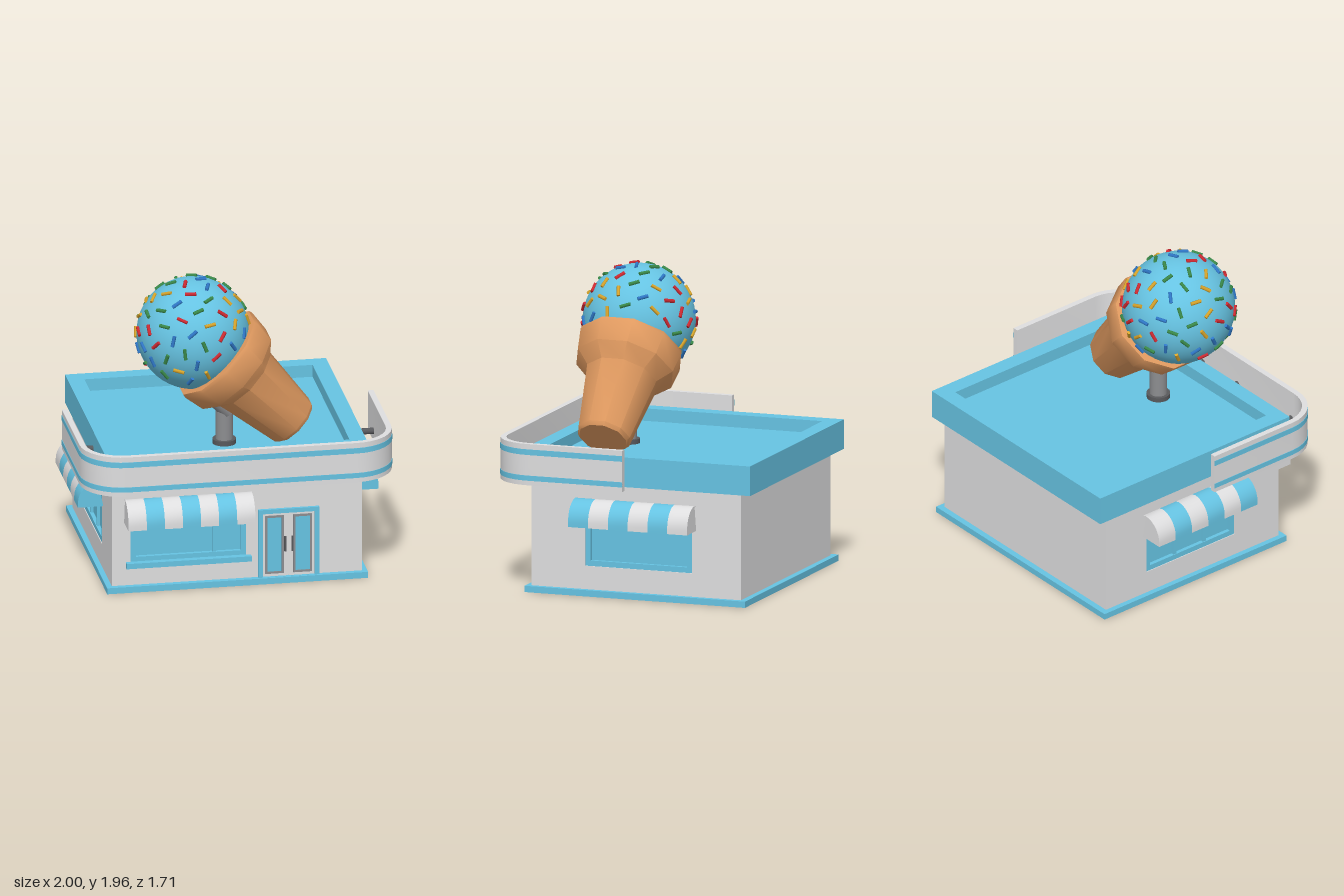
import * as THREE from 'three';
import { toCreasedNormals } from 'three/addons/utils/BufferGeometryUtils.js';

const paint = (name, color) => Object.assign(new THREE.MeshStandardMaterial({ color }), { name });

export function createModel() {
  const blue = paint('sky blue', 0x66c3e2), white = paint('off white', 0xdededf);
  const grey = paint('steel grey', 0x8c8d90), dark = paint('dark grey', 0x58595c);
  const waffle = paint('waffle', 0xe09a60);
  const candy = [paint('red', 0xd02a32), paint('yellow', 0xd9a52b), paint('green', 0x3a8a4a), paint('candy blue', 0x2f78c8)];

  const model = new THREE.Group();
  model.name = 'iceCreamShop';
  const add = (parent, name, geo, mat) => {
    const m = new THREE.Mesh(geo, mat);
    m.name = name;
    parent.add(m);
    return m;
  };
  // box from its minimum and maximum corners
  const box = (parent, name, mat, x0, x1, y0, y1, z0, z1) => {
    const m = add(parent, name, new THREE.BoxGeometry(x1 - x0, y1 - y0, z1 - z0), mat);
    m.position.set((x0 + x1) / 2, (y0 + y1) / 2, (z0 + z1) / 2);
    return m;
  };
  const trace = (target, x0, x1, y0, y1) =>
    target.moveTo(x0, y0).lineTo(x1, y0).lineTo(x1, y1).lineTo(x0, y1).closePath();
  const extrude = (shape, depth) => new THREE.ExtrudeGeometry(shape, { depth, bevelEnabled: false, curveSegments: 4 });
  // rectangular plate with a rectangular opening, [x0, x1, y0, y1] each
  const ring = (outer, inner, depth) => {
    const s = trace(new THREE.Shape(), ...outer);
    s.holes.push(trace(new THREE.Path(), ...inner));
    return extrude(s, depth);
  };

  // base, core of the building, and back wall
  box(model, 'base', blue, -0.835, 0.835, 0, 0.04, -0.82, 0.665);
  box(model, 'core', white, -0.75, 0.75, 0.04, 0.72, -0.78, 0.58);
  box(model, 'backWall', white, -0.8, 0.8, 0.04, 0.72, -0.78, -0.73);

  // roof slab with a raised edge around a sunken deck
  box(model, 'roofDeck', blue, -0.835, 0.835, 0.72, 0.83, -0.855, 0.69);
  const parapet = ring([-0.835, 0.835, -0.69, 0.855], [-0.73, 0.73, -0.585, 0.75], 0.08);
  add(model, 'roofEdge', parapet.rotateX(-Math.PI / 2), blue).position.y = 0.83;

  // striped quarter-round awning, hung on the plane z = 0
  function awning(width, count, firstBlue) {
    const g = new THREE.Group();
    g.name = 'awning';
    const profile = hollow => {
      const s = new THREE.Shape();
      s.moveTo(0, 0.165).absellipse(0.03, 0.03, 0.132, 0.135, Math.PI / 2, 0, true);
      s.lineTo(0.162, 0);
      if (!hollow) return s.lineTo(0, 0);
      s.lineTo(0.152, 0).lineTo(0.152, 0.03);
      s.absellipse(0.03, 0.03, 0.122, 0.125, 0, Math.PI / 2, false);
      return s.lineTo(0, 0.155);
    };
    const slice = (name, x1, depth, hollow, mat) => {
      const geo = toCreasedNormals(extrude(profile(hollow), depth).rotateY(-Math.PI / 2), 0.7);
      add(g, name, geo, mat).position.x = x1;
    };
    const w = width / count, mat = i => ((i % 2 === 0) === firstBlue ? blue : white);
    for (let i = 0; i < count; i++) slice('awningStripe', -width / 2 + (i + 1) * w, w, true, mat(i));
    slice('awningEnd', -width / 2 + 0.007, 0.008, false, mat(0));
    slice('awningEnd', width / 2 + 0.001, 0.008, false, mat(count - 1));
    g.position.y = 0.464;
    return g;
  }

  // wall facing +z with a recessed window
  function windowWall(name, half, x0, x1, mullions) {
    const g = new THREE.Group(), y0 = 0.19, y1 = 0.52;
    g.name = name;
    add(g, 'wall', ring([-half, half, 0.04, 0.72], [x0, x1, y0, y1], 0.05), white).position.z = -0.05;
    const frame = ring([x0, x1, y0, y1], [x0 + 0.035, x1 - 0.035, y0 + 0.035, y1 - 0.035], 0.035);
    add(g, 'windowFrame', frame, blue).position.z = -0.04;
    box(g, 'windowGlass', blue, x0, x1, y0, y1, -0.04, -0.03);
    for (const x of mullions) box(g, 'mullion', blue, x - 0.012, x + 0.012, y0, y1, -0.035, -0.01);
    model.add(g);
    return g;
  }
  const front = windowWall('frontWall', 0.8, -0.68, 0.06, [-0.142]);
  front.position.z = 0.63;
  const frontAwning = awning(0.81, 7, false);
  frontAwning.position.x = -0.315;
  front.add(frontAwning);
  box(front, 'windowSill', blue, -0.71, 0.09, 0.16, 0.195, -0.03, 0.035);

  for (const s of [1, -1]) {
    const wall = windowWall(s > 0 ? 'leftWall' : 'rightWall', 0.7025, -0.36 + s * 0.0125, 0.36 + s * 0.0125,
      s > 0 ? [] : [-0.13, 0.11]);
    wall.position.set(s * 0.8, 0, -0.0775);
    wall.rotation.y = s * Math.PI / 2;
    wall.add(awning(0.8, 6, s > 0));
  }

  // double door
  const door = new THREE.Group();
  door.name = 'door';
  door.position.set(0.33, 0, 0.63);
  model.add(door);
  add(door, 'doorFrame', ring([-0.195, 0.195, 0.04, 0.495], [-0.167, 0.167, 0.041, 0.467], 0.02), blue);
  for (const s of [-1, 1]) {
    const cx = s * 0.09;
    box(door, 'doorLeaf', white, s * 0.084 - 0.081, s * 0.084 + 0.081, 0.04, 0.467, -0.01, 0.006);
    add(door, 'doorRim', ring([cx - 0.06, cx + 0.06, 0.06, 0.45], [cx - 0.046, cx + 0.046, 0.074, 0.436], 0.012), grey);
    box(door, 'doorGlass', blue, cx - 0.046, cx + 0.046, 0.074, 0.436, 0, 0.008);
    box(door, 'doorHandle', dark, s * 0.023 - 0.006, s * 0.023 + 0.006, 0.21, 0.31, 0.012, 0.026);
    for (const y of [0.225, 0.295]) box(door, 'handleMount', dark, s * 0.023 - 0.005, s * 0.023 + 0.005, y - 0.006, y + 0.006, 0, 0.02);
  }

  // U-shaped sign band with rounded corners; o = half width, t = thickness
  function band(name, mat, o, t, y0, y1) {
    const zf = o - 0.15, r = 0.27 - (1 - o), i = o - t, ri = r - t, c = -zf + r, end = 0.055;
    const s = new THREE.Shape();
    s.moveTo(-o, end).lineTo(-o, c);
    s.absarc(-o + r, c, r, Math.PI, 1.5 * Math.PI, false);
    s.absarc(o - r, c, r, 1.5 * Math.PI, 2 * Math.PI, false);
    s.lineTo(o, end).lineTo(i, end).lineTo(i, c);
    s.absarc(o - r, c, ri, 2 * Math.PI, 1.5 * Math.PI, true);
    s.absarc(-o + r, c, ri, 1.5 * Math.PI, Math.PI, true);
    s.lineTo(-i, end).closePath();
    const geo = toCreasedNormals(extrude(s, y1 - y0).rotateX(-Math.PI / 2), 0.6);
    add(model, name, geo, mat).position.y = y0;
  }
  band('signBand', white, 0.997, 0.037, 0.72, 0.985);
  band('signStripe', blue, 1, 0.006, 0.75, 0.783);
  band('signStripe', blue, 1, 0.006, 0.915, 0.951);

  // brackets holding the band
  const rod = new THREE.CylinderGeometry(0.02, 0.02, 0.2, 12);
  for (const x of [-0.705, -0.172, 0.168, 0.703]) {
    const m = add(model, 'bracket', rod, dark);
    m.position.set(x, 0.79, 0.73);
    m.rotation.x = Math.PI / 2;
  }
  for (const s of [-1, 1]) for (const z of [0.15, 0.36]) {
    const m = add(model, 'bracket', rod, dark);
    m.position.set(s * 0.88, 0.79, z);
    m.rotation.z = Math.PI / 2;
  }

  // post under the giant cone
  const post = (name, r, h, x, y, mat) => {
    const m = add(model, name, new THREE.CylinderGeometry(r, r, h, 20), mat);
    m.position.set(x, y, 0.29);
    return m;
  };
  post('postFlange', 0.075, 0.03, -0.02, 0.845, dark);
  post('post', 0.055, 0.3, -0.02, 0.98, grey);
  post('postSaddle', 0.075, 0.12, -0.02, 1.1, grey).rotation.z = Math.PI / 4;

  // giant tilted ice cream: local +y runs from the cone's tip to the scoop
  const ice = new THREE.Group();
  ice.name = 'iceCream';
  ice.position.set(-0.22, 1.585, 0.29);
  model.add(ice);
  const R = 0.357;
  add(ice, 'scoop', new THREE.SphereGeometry(R, 40, 28), blue);
  const cone = new THREE.Group();
  cone.name = 'cone';
  cone.rotation.z = Math.PI / 4;
  ice.add(cone);
  const profile = [[0, -0.918], [0.157, -0.918], [0.175, -0.894], [0.237, -0.456], [0.325, -0.373],
    [0.345, -0.233], [0.339, -0.209], [0.26, -0.205]].map(p => new THREE.Vector2(...p));
  const coneGeo = toCreasedNormals(new THREE.LatheGeometry(profile, 10), 0.75);
  add(cone, 'waffleCone', coneGeo, waffle);

  // sprinkles spiralling over the upper scoop, skipping the part inside the cone
  const stick = new THREE.CylinderGeometry(0.012, 0.012, 0.07, 6);
  const down = new THREE.Vector3(1, -1, 0).normalize(), up = new THREE.Vector3(0, 1, 0);
  let seed = 7;
  const rand = () => (seed = (seed * 16807) % 2147483647) / 2147483647;
  for (let i = 0; i < 96; i++) {
    const y = 0.99 - 1.6 * i / 95, a = i * 2.39996, q = Math.sqrt(1 - y * y);
    const n = new THREE.Vector3(q * Math.cos(a), y, q * Math.sin(a));
    const spin = rand() * Math.PI;
    if (n.dot(down) > 0.48) continue;
    const side = new THREE.Vector3(0.3, 0.2, 1).cross(n).normalize().applyAxisAngle(n, spin);
    const m = add(ice, 'sprinkle', stick, candy[Math.floor(rand() * 4)]);
    m.position.copy(n).multiplyScalar(R + 0.003);
    m.quaternion.setFromUnitVectors(up, side);
  }
  return model;
}
